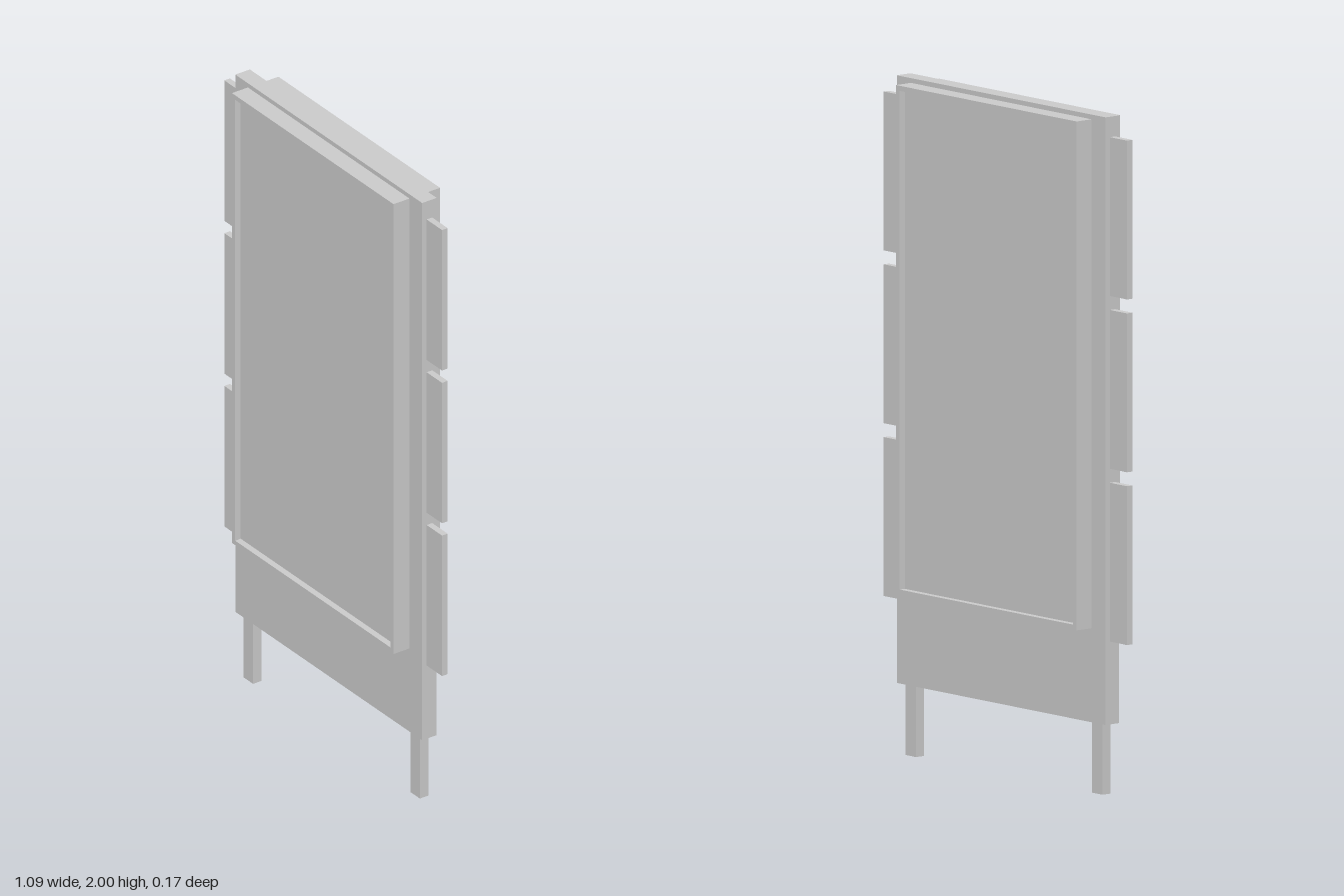
import * as THREE from 'three';

const material = new THREE.MeshStandardMaterial({ color: 0xcccccc });

// Box given by its centre x, y range and z centre
function box(name, width, y0, y1, depth, x = 0, z = 0) {
  const mesh = new THREE.Mesh(new THREE.BoxGeometry(width, y1 - y0, depth), material);
  mesh.name = name;
  mesh.position.set(x, (y0 + y1) / 2, z);
  return mesh;
}

function rectangle(Type, x, y0, y1) {
  return new Type([
    new THREE.Vector2(-x, y0), new THREE.Vector2(x, y0),
    new THREE.Vector2(x, y1), new THREE.Vector2(-x, y1),
  ]);
}

// Raised display: a thin-rimmed frame around a slightly recessed screen
function createDisplay(name) {
  const display = new THREE.Group();
  display.name = name;
  const outline = rectangle(THREE.Shape, 0.403, 0.487, 1.986);
  outline.holes.push(rectangle(THREE.Path, 0.387, 0.502, 1.971));
  const frame = new THREE.Mesh(
    new THREE.ExtrudeGeometry(outline, { depth: 0.057, bevelEnabled: false }), material);
  frame.name = 'displayFrame';
  frame.position.z = 0.026;
  display.add(frame, box('screen', 0.774, 0.502, 1.971, 0.037, 0, 0.0445));
  return display;
}

export function createModel() {
  const model = new THREE.Group();
  model.name = 'displayStand';

  // Main board
  model.add(box('mainPanel', 0.932, 0.21, 2, 0.052));

  // Displays on both faces
  const back = createDisplay('backDisplay');
  back.rotation.y = Math.PI;
  model.add(createDisplay('frontDisplay'), back);

  // Legs and side plates, mirrored
  for (const [side, label] of [[1, 'left'], [-1, 'right']]) {
    model.add(box(`${label}Leg`, 0.047, 0, 0.21, 0.03, side * 0.416));
    for (let i = 0; i < 3; i++) {
      const y = 0.454 + i * 0.509;
      model.add(box(`${label}SidePlate${i + 1}`, 0.077, y, y + 0.468, 0.02, side * 0.5045));
    }
  }
  return model;
}
